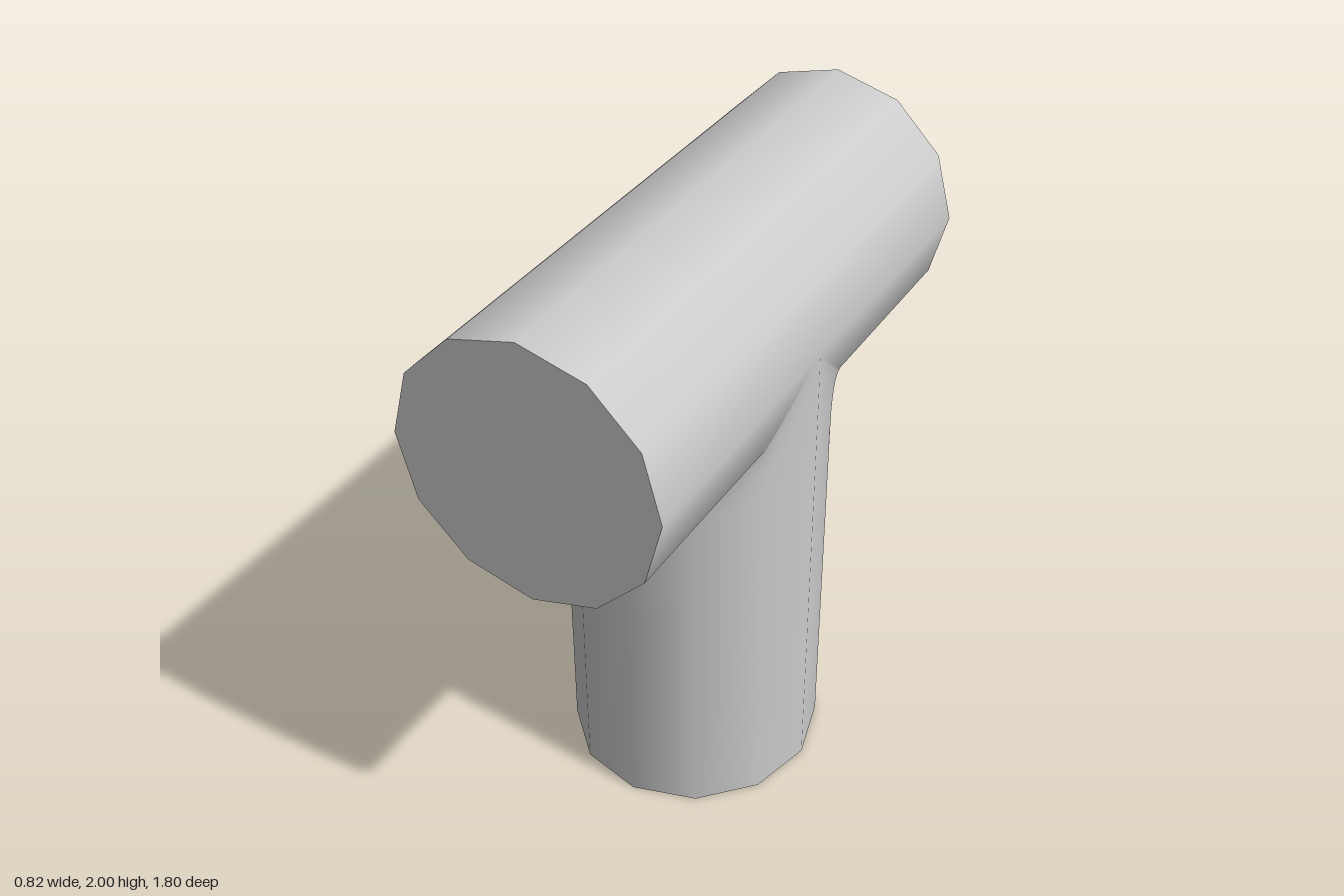
import * as THREE from 'three';

const SIDES = 12;
const R = 0.4125;              // cross pipe radius
const AXIS_Y = 2 - R;          // cross pipe axis height
const LENGTH = 1.8;
const RX = 0.405, RZ = 0.42;   // stem half widths
const FLARE_Z = 0.49;          // reach of the fillet along the cross pipe

// Slight waist in the sides of the cross pipe where the stem joins
const pinch = (x, z) =>
  Math.abs(x) > R * 0.98 ? x - Math.sign(x) * 0.0095 * Math.max(0, 1 - Math.abs(z) / 0.42) : x;

function crossPipeGeometry() {
  const geo = new THREE.CylinderGeometry(R, R, LENGTH, SIDES, 24);
  geo.rotateX(Math.PI / 2);
  const p = geo.attributes.position;
  for (let i = 0; i < p.count; i++) p.setX(i, pinch(p.getX(i), p.getZ(i)));
  return geo;
}

// Straight stem whose top follows the underside of the cross pipe through a fillet
function stemGeometry() {
  const steps = 6, rings = steps + 2;
  const pos = [], index = [];
  for (let r = 0; r < rings; r++) {
    for (let k = 0; k < SIDES; k++) {
      const a = (k / SIDES) * Math.PI * 2, s = Math.sin(a), c = Math.cos(a);
      const endZ = FLARE_Z * c;
      const end = new THREE.Vector3(pinch(R * s, endZ), AXIS_Y - R * Math.abs(c), endZ);
      const startY = 1.1 + 0.4 * (end.y - (AXIS_Y - R));
      const start = new THREE.Vector3(RX * s, startY, RZ * c);
      const corner = new THREE.Vector3(RX * s, startY + (end.y - startY) * 0.9, RZ * c);
      const v = r === 0
        ? new THREE.Vector3(RX * s, 0, RZ * c)
        : new THREE.QuadraticBezierCurve3(start, corner, end).getPoint((r - 1) / steps);
      pos.push(v.x, v.y, v.z);
      if (r < rings - 1) {
        const i = r * SIDES + k, j = r * SIDES + (k + 1) % SIDES;
        index.push(i, j, j + SIDES, i, j + SIDES, i + SIDES);
      }
    }
  }
  const geo = new THREE.BufferGeometry();
  geo.setAttribute('position', new THREE.Float32BufferAttribute(pos, 3));
  geo.setIndex(index);
  geo.computeVertexNormals();

  // Radial normals on the straight part, cross pipe normals along the joint
  const n = geo.attributes.normal, v = new THREE.Vector3();
  for (let k = 0; k < SIDES; k++) {
    const a = (k / SIDES) * Math.PI * 2;
    for (const r of [0, 1]) n.setXYZ(r * SIDES + k, Math.sin(a), 0, Math.cos(a));
    const top = (rings - 1) * SIDES + k;
    v.fromBufferAttribute(geo.attributes.position, top);
    v.set(v.x, v.y - AXIS_Y, 0).normalize();
    n.setXYZ(top, v.x, v.y, v.z);
  }
  return geo;
}

export function createModel() {
  const group = new THREE.Group();
  group.name = 'teePipe';
  const material = new THREE.MeshStandardMaterial({ color: 0xcccccc });
  const add = (name, geo) => {
    const mesh = new THREE.Mesh(geo, material);
    mesh.name = name;
    group.add(mesh);
    return mesh;
  };

  add('crossPipe', crossPipeGeometry()).position.y = AXIS_Y;
  add('stem', stemGeometry());

  // Flat base closing the stem
  const base = new THREE.CircleGeometry(1, SIDES);
  base.rotateX(Math.PI / 2);
  base.scale(RX, 1, RZ);
  add('stemBase', base);

  return group;
}
